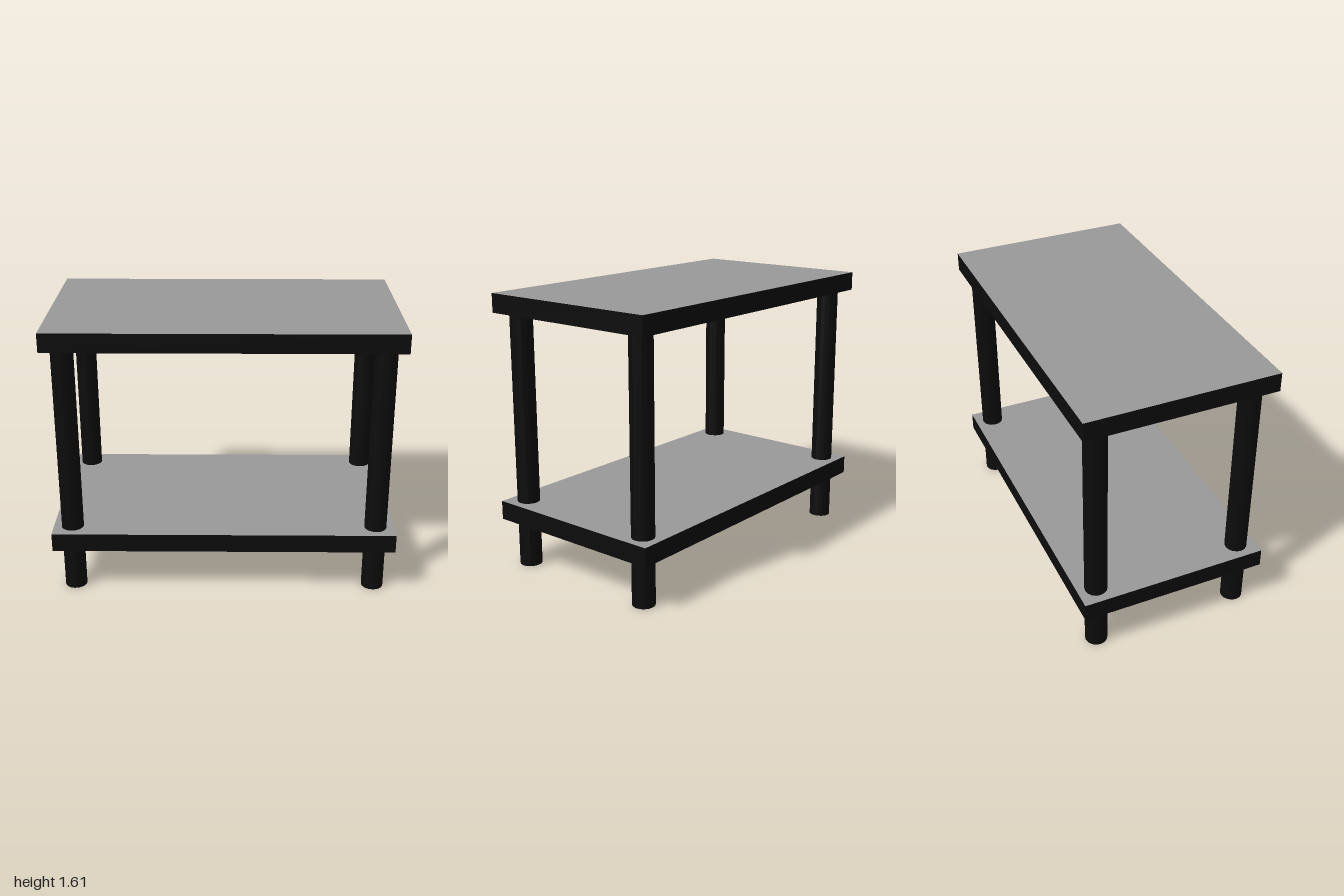
import * as THREE from 'three';

export function createModel() {
  const model = new THREE.Group();
  model.name = 'sideTable';

  const black = new THREE.MeshStandardMaterial({ color: 0x0c0c0c });
  const blackFaceted = new THREE.MeshStandardMaterial({ color: 0x0c0c0c, flatShading: true });
  const grey = new THREE.MeshStandardMaterial({ color: 0x999999 });

  // Boards: black edges, grey upper and lower faces
  const width = 2, thickness = 0.11, depth = 1.11;
  const boardGeometry = new THREE.BoxGeometry(width, thickness, depth);
  const boardMaterials = [black, black, grey, grey, black, black];
  for (const [name, bottom] of [['lowerShelf', 0.28], ['tableTop', 1.5]]) {
    const board = new THREE.Mesh(boardGeometry, boardMaterials);
    board.name = name;
    board.position.y = bottom + thickness / 2;
    model.add(board);
  }

  // Round legs, running through the shelf up to the table top
  const legHeight = 1.5;
  const legGeometry = new THREE.CylinderGeometry(0.065, 0.065, legHeight, 16);
  for (const [side, x] of [['Left', 0.89], ['Right', -0.89]]) {
    for (const [end, z] of [['front', 0.445], ['back', -0.445]]) {
      const leg = new THREE.Mesh(legGeometry, blackFaceted);
      leg.name = `${end}${side}Leg`;
      leg.position.set(x, legHeight / 2, z);
      model.add(leg);
    }
  }

  return model;
}
